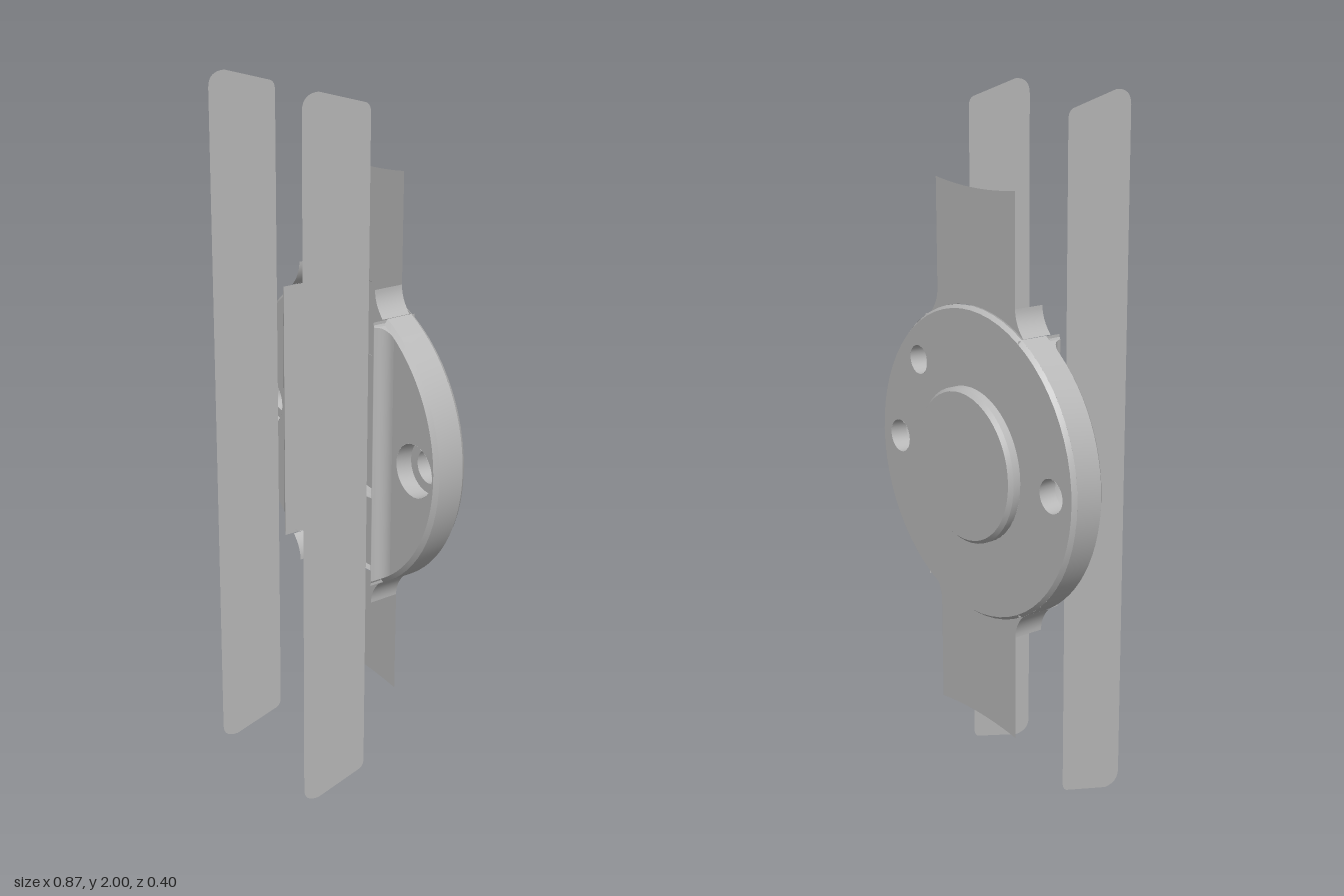
import * as THREE from 'three';
import { toCreasedNormals } from 'three/addons/utils/BufferGeometryUtils.js';

const grey = new THREE.MeshStandardMaterial({ color: 0xb8b8b8, side: THREE.DoubleSide });
grey.name = 'plain grey';

const R = 0.437, WALL = 0.208, FACE = -0.065, BACK = -0.167, HOLE_X = 0.345;

function add(parent, name, geometry) {
  const mesh = new THREE.Mesh(geometry, grey);
  mesh.name = name;
  parent.add(mesh);
  return mesh;
}

// Surface of revolution about z; the profile holds [radius, z] pairs
function turned(profile, segments = 48, start = 0, length = Math.PI * 2) {
  const points = profile.map(([r, z]) => new THREE.Vector2(r, z));
  const geometry = new THREE.LatheGeometry(points, segments, start, length);
  geometry.rotateX(Math.PI / 2);
  return toCreasedNormals(geometry, 0.5);
}

// Sheet stretched between two rows of [x, y, z] points
function ruled(a, b) {
  const geometry = new THREE.BufferGeometry();
  const index = [];
  for (let i = 0; i < a.length - 1; i++) {
    const j = i + a.length;
    index.push(i, i + 1, j, i + 1, j + 1, j);
  }
  geometry.setAttribute('position', new THREE.Float32BufferAttribute([...a, ...b].flat(), 3));
  geometry.setIndex(index);
  geometry.computeVertexNormals();
  return geometry;
}

function flat(shape, z) {
  return new THREE.ShapeGeometry(shape, 32).translate(0, 0, z);
}

function circle(x, y, r) {
  return new THREE.Path().absarc(x, y, r, 0, Math.PI * 2, true);
}

// Half of the case: rim, front face, lip, channel wall and screw hole
function sideCase() {
  const side = new THREE.Group();
  const half = Math.acos(WALL / R);
  add(side, 'rim', turned([[R, -0.155], [R, -0.076], [0.425, FACE]], 28, Math.PI / 2 - half, half * 2));

  const inner = 0.25, r = 0.425;
  const angle = Math.acos(inner / r);
  const face = new THREE.Shape().absarc(0, 0, r, -angle, angle, false);
  face.closePath();
  face.holes.push(circle(HOLE_X, 0, 0.075));
  add(side, 'frontFace', flat(face, FACE));

  // Concave lip rising towards the channel
  const lip = [];
  for (let i = 0; i <= 8; i++) {
    const t = (i / 8) * Math.PI / 2;
    const x = inner - (inner - WALL - 0.003) * Math.sin(t);
    lip.push([x, Math.sqrt(r * r - x * x), FACE + 0.035 * (1 - Math.cos(t))]);
  }
  lip.push([WALL, 0.375, -0.03]);
  const low = lip.map(([x, y, z]) => [x, -y, z]);
  add(side, 'lip', ruled(lip, low));
  for (const row of [lip, low]) {
    add(side, 'lipEnd', ruled(row, row.map(([x, y]) => [x, y, FACE])));
  }
  const y = 0.383;
  add(side, 'channelWall', ruled([[WALL, y, BACK], [WALL, y, -0.03]], [[WALL, -y, BACK], [WALL, -y, -0.03]]));

  const hole = add(side, 'screwHole', turned([[0.047, BACK], [0.047, -0.115], [0.075, -0.115], [0.075, FACE]], 24));
  hole.position.x = HOLE_X;
  return side;
}

// Flat tongue with flared root and the curved walls beside it
function strapTongue() {
  const tongue = new THREE.Group();
  const w = 0.173, root = Math.atan2(0.385, 0.207);
  const shape = new THREE.Shape();
  shape.moveTo(0.207, 0.385);
  shape.quadraticCurveTo(w, 0.42, w, 0.46);
  shape.lineTo(w, 0.762);
  shape.quadraticCurveTo(0, 0.738, -w, 0.762);
  shape.lineTo(-w, 0.46);
  shape.quadraticCurveTo(-w, 0.42, -0.207, 0.385);
  shape.absarc(0, 0, R, Math.PI - root, root, true);
  add(tongue, 'tongueSheet', flat(shape, -0.15));

  for (const s of [1, -1]) {
    const curve = new THREE.QuadraticBezierCurve(
      new THREE.Vector2(s * 0.207, 0.385), new THREE.Vector2(s * w, 0.42), new THREE.Vector2(s * w, 0.458));
    const points = curve.getPoints(8);
    add(tongue, 'flareWall', ruled(points.map(p => [p.x, p.y, -0.15]), points.map(p => [p.x, p.y, -0.06])));
  }
  return tongue;
}

// Long thin side strip outlined in z and y
function stripGeometry() {
  const s = new THREE.Shape();
  s.moveTo(0.2, 0);
  for (const m of [1, -1]) {
    const p = [[0.2, 0.955], [0.2, 0.998], [0.15, 0.998], [0.005, 0.958], [-0.01, 0.952], [-0.01, 0.93]];
    if (m < 0) p.reverse();
    const q = p.map(([z, y]) => [z, y * m]);
    s.lineTo(...q[0]);
    if (m > 0) {
      s.quadraticCurveTo(...q[1], ...q[2]);
      s.lineTo(...q[3]);
      s.quadraticCurveTo(...q[4], ...q[5]);
    } else {
      s.quadraticCurveTo(...q[1], ...q[2]);
      s.lineTo(...q[3]);
      s.quadraticCurveTo(...q[4], ...q[5]);
    }
  }
  s.closePath();
  return new THREE.ShapeGeometry(s, 8).rotateY(-Math.PI / 2).scale(1, 1 / 0.998, 1);
}

export function createModel() {
  const model = new THREE.Group();
  model.name = 'roundCaseWithStrips';
  const body = new THREE.Group();
  body.name = 'body';
  body.position.y = 1;
  model.add(body);

  // Back plate with three holes and an opening for the boss
  const plate = new THREE.Shape().absarc(0, 0, 0.428, 0, Math.PI * 2, false);
  plate.holes.push(circle(0, 0, 0.217), circle(HOLE_X, 0, 0.047), circle(-HOLE_X, 0, 0.047), circle(0.245, 0.245, 0.041));
  add(body, 'backPlate', flat(plate, BACK));
  add(body, 'backChamfer', turned([[0.428, BACK], [R, -0.155]], 64));
  add(body, 'backBoss', turned([[0, -0.2], [0.207, -0.2], [0.217, -0.189], [0.217, BACK]]));

  // Blind hole beside the channel
  const blind = add(body, 'blindHole', turned([[0.041, BACK], [0.041, -0.095], [0, -0.095]], 20));
  blind.position.set(0.245, 0.245, 0);

  // Mirrored pairs
  for (const s of [1, -1]) {
    const side = sideCase();
    side.name = s > 0 ? 'leftCase' : 'rightCase';
    side.scale.x = s;
    body.add(side);

    const tongue = strapTongue();
    tongue.name = s > 0 ? 'upperTongue' : 'lowerTongue';
    tongue.scale.y = s;
    body.add(tongue);

    add(body, s > 0 ? 'leftStrip' : 'rightStrip', stripGeometry()).position.x = s * 0.212;
  }
  return model;
}
